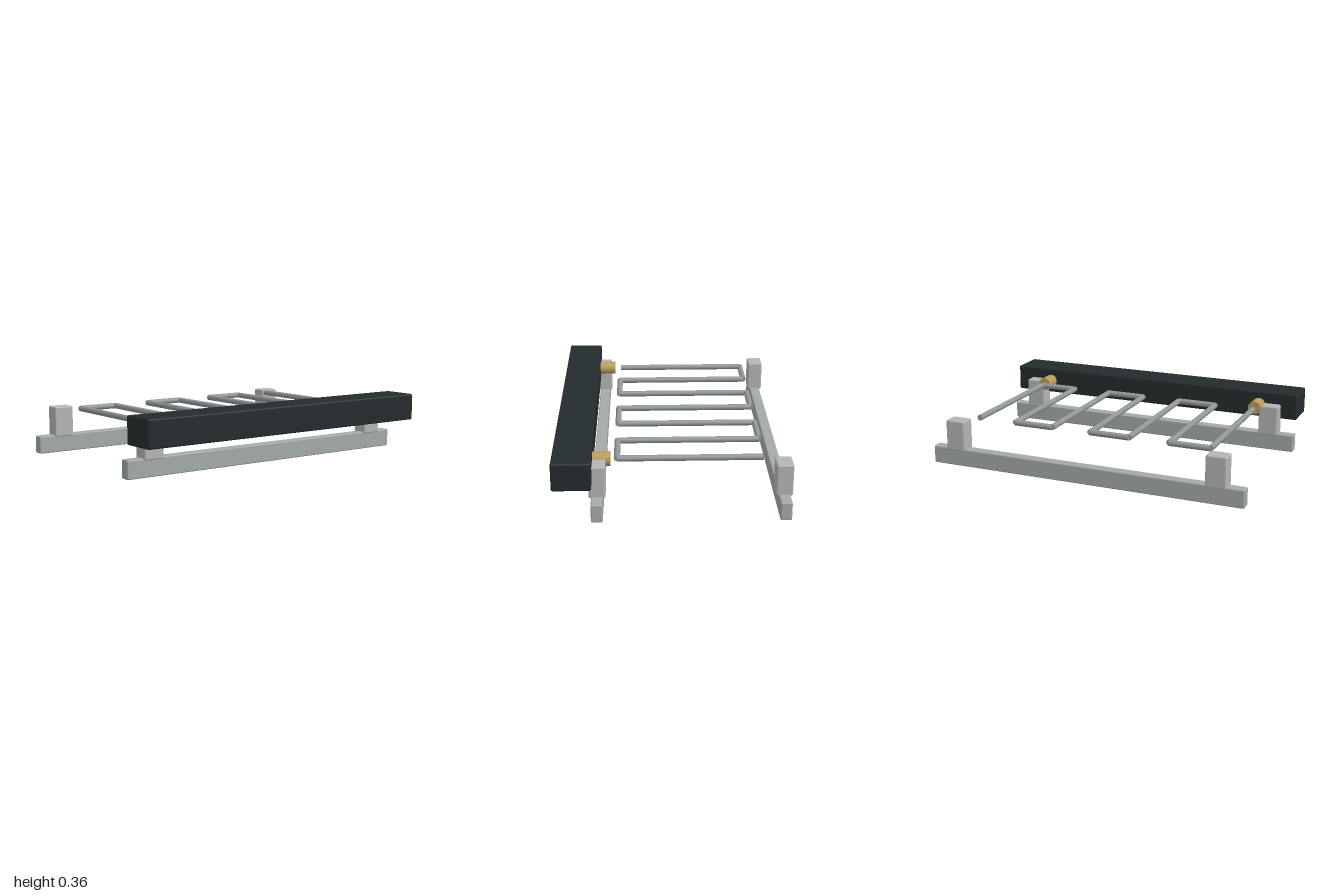
import * as THREE from 'three';
import { RoundedBoxGeometry } from 'three/addons/geometries/RoundedBoxGeometry.js';

const paint = (color) => new THREE.MeshStandardMaterial({ color });

export function createModel() {
  const model = new THREE.Group();
  model.name = 'serpentineTubeRack';
  const dark = paint(0x242b2d);
  const railGrey = paint(0xa3aaa9);
  const postGrey = paint(0xb4b4b4);
  const steel = paint(0x929797);
  const brass = paint(0xb89c5c);

  const add = (name, geometry, material, x, y, z) => {
    const mesh = new THREE.Mesh(geometry, material);
    mesh.name = name;
    mesh.position.set(x, y, z);
    model.add(mesh);
    return mesh;
  };
  // Softly bevelled block
  const block = (w, h, d, r) => new RoundedBoxGeometry(w, h, d, 2, r);

  // Header beam along the front
  add('headerBeam', block(2, 0.165, 0.22, 0.01), dark, 0, 0.279, 0.566);

  // Base rails, each with two support posts
  for (const [side, z] of [['front', 0.429], ['rear', -0.626]]) {
    add(side + 'Rail', block(2, 0.11, 0.066, 0.008), railGrey, 0, 0.055, z);
    for (const s of [-1, 1]) {
      add(side + (s > 0 ? 'LeftPost' : 'RightPost'),
        block(0.124, 0.19, 0.096, 0.009), postGrey, s * 0.834, 0.195, z);
    }
  }

  // Brass end fittings on the header
  for (const s of [-1, 1]) {
    const fitting = add(s > 0 ? 'leftFitting' : 'rightFitting',
      new THREE.CylinderGeometry(0.042, 0.042, 0.12, 20), brass, s * 0.75, 0.278, 0.414);
    fitting.rotation.x = Math.PI / 2;
  }

  // Serpentine coil: straight runs joined by alternating cross tubes
  const radius = 0.018, tubeY = 0.278, pitch = 0.25, rearZ = -0.516, frontZ = 0.317;
  const runLength = frontZ - rearZ;
  const run = new THREE.CylinderGeometry(radius, radius, runLength, 16).rotateX(Math.PI / 2);
  const link = new THREE.CylinderGeometry(radius, radius, pitch, 16).rotateZ(Math.PI / 2);
  for (let i = 0; i < 7; i++) {
    const x = (i - 3) * pitch;
    add('coilRun' + (i + 1), run, steel, x, tubeY, (rearZ + frontZ) / 2);
    if (i < 6) {
      add('coilLink' + (i + 1), link, steel, x + pitch / 2, tubeY, i % 2 ? frontZ : rearZ);
    }
  }
  return model;
}
